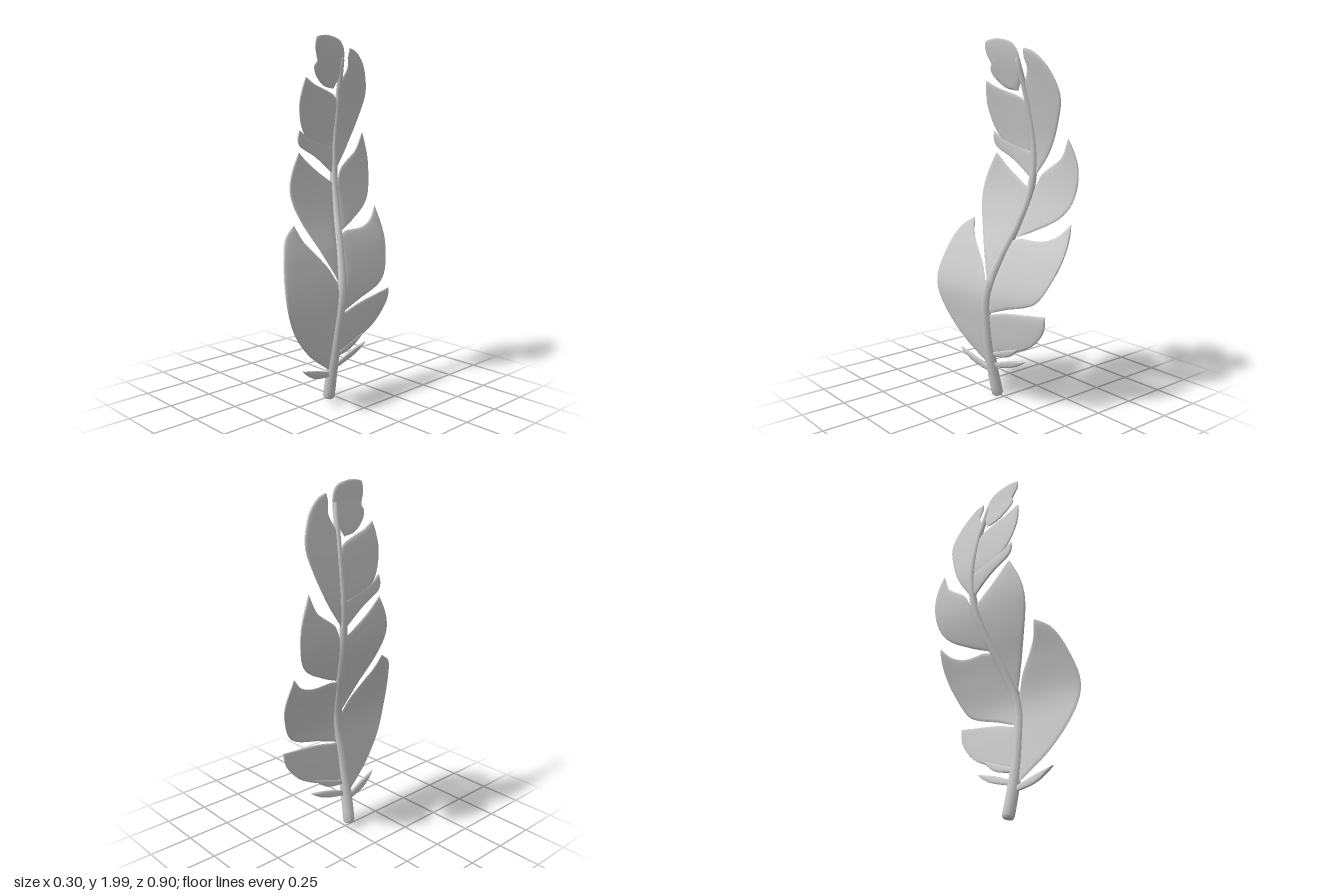
import * as THREE from 'three';
import { toCreasedNormals } from 'three/addons/utils/BufferGeometryUtils.js';

// Centre line of the feather; the last point guides the vane above the quill tip
const spine = new THREE.CatmullRomCurve3([
  [0.012, 0.01, 0.042], [0.05, 0.2, 0.05], [0.085, 0.42, 0.045], [0.1, 0.62, 0.03], [0.04, 0.82, -0.015],
  [-0.045, 1.02, -0.07], [-0.1, 1.2, -0.105], [-0.113, 1.4, -0.12], [-0.085, 1.6, -0.115],
  [-0.05, 1.76, -0.1], [-0.015, 1.9, -0.085], [0.01, 2.05, -0.07],
].map((p) => new THREE.Vector3(...p)));

// Curve parameter at a given height
function paramAt(y) {
  let a = 0, b = 1;
  for (let i = 0; i < 24; i++) {
    const m = (a + b) / 2;
    if (spine.getPoint(m).y < y) a = m; else b = m;
  }
  return (a + b) / 2;
}

// Closed strip of cross-sections: point(i, j) for nu rings of nv corners
function loft(nu, nv, point, crease) {
  const pos = [], idx = [];
  for (let i = 0; i < nu; i++) {
    for (let j = 0; j < nv; j++) {
      pos.push(...point(i, j).toArray());
      if (i === nu - 1) continue;
      const a = i * nv + j, b = i * nv + (j + 1) % nv;
      idx.push(a, b, a + nv, b, b + nv, a + nv);
    }
  }
  const g = new THREE.BufferGeometry();
  g.setAttribute('position', new THREE.Float32BufferAttribute(pos, 3));
  g.setIndex(idx);
  return toCreasedNormals(g, crease);
}

// Tapered quill with closed, bevelled ends
function quillGeometry() {
  const rings = [[0.01, 0], [0.01, 0.026], [0.02, 0.033]];
  for (let i = 1; i <= 36; i++) {
    const k = i / 36;
    rings.push([0.02 + 1.86 * k, 0.034 - 0.02 * k]);
  }
  rings.push([1.893, 0.01], [1.9, 0]);
  return loft(rings.length, 10, (i, j) => {
    const t = paramAt(rings[i][0]), r = rings[i][1], a = (j / 10) * Math.PI * 2;
    const T = spine.getTangent(t);
    const e1 = new THREE.Vector3(1, 0, 0).cross(T).normalize();
    const e2 = T.clone().cross(e1);
    return spine.getPoint(t).addScaledVector(e1, r * Math.cos(a)).addScaledVector(e2, r * Math.sin(a));
  }, 0.75);
}

// Thin vane lobe between a lower and an upper edge, both running from root to tip as [z, y]
function lobeGeometry(lower, upper, half) {
  const curve = (pts) => new THREE.SplineCurve(pts.map((p) => new THREE.Vector2(...p)));
  const lo = curve(lower), up = curve(upper);
  const side = Math.sign(lower.at(-1)[0] - lower[0][0]);
  const nu = 33, nv = 28;
  return loft(nu, nv, (i, j) => {
    const u = i / (nu - 1), a = (j / nv) * Math.PI * 2;
    const p = lo.getPointAt(u).lerp(up.getPointAt(u), 0.5 - 0.5 * Math.cos(a));
    const s = Math.sin(a);
    const off = side * half * Math.sign(s) * Math.abs(s) ** 0.5 * (1 - (2 * u - 1) ** 12);
    const c = spine.getPoint(paramAt(p.y));
    // the vane follows the bend of the quill and is turned slightly about it
    return new THREE.Vector3(c.x + 0.1 * (p.x - c.z) + off, p.y, p.x);
  }, 0.9);
}

const frontLobes = [
  // downy barb
  [[[0.06, 0.14], [0.2, 0.17], [0.3, 0.24]], [[0.06, 0.17], [0.18, 0.21], [0.3, 0.24]]],
  // large lower lobe
  [[[0.05, 0.17], [0.25, 0.31], [0.39, 0.47], [0.45, 0.63], [0.43, 0.79], [0.37, 0.94], [0.275, 1.01]],
    [[0.04, 0.66], [0.1, 0.77], [0.19, 0.87], [0.24, 0.93], [0.275, 1.01]]],
  // middle lobe
  [[[0.03, 0.67], [0.13, 0.86], [0.22, 1.03], [0.255, 1.15], [0.235, 1.26], [0.17, 1.385]],
    [[-0.1, 1.2], [0, 1.26], [0.09, 1.32], [0.17, 1.385]]],
  // narrow lobe
  [[[-0.11, 1.25], [0.03, 1.35], [0.15, 1.41], [0.18, 1.45], [0.175, 1.505]],
    [[-0.12, 1.4], [0.02, 1.44], [0.1, 1.46], [0.175, 1.505]]],
  // upper lobe
  [[[-0.11, 1.395], [-0.01, 1.41], [0.09, 1.44], [0.16, 1.52], [0.195, 1.63], [0.19, 1.72], [0.175, 1.78]],
    [[-0.11, 1.64], [-0.07, 1.69], [0.03, 1.725], [0.1, 1.745], [0.175, 1.78]]],
  // top lobe
  [[[-0.055, 1.725], [0.03, 1.74], [0.1, 1.79], [0.125, 1.84], [0.108, 1.865], [0.135, 1.93], [0.135, 1.985]],
    [[-0.1, 1.8], [-0.1, 1.91], [-0.06, 1.975], [0.03, 1.998], [0.1, 1.995], [0.135, 1.985]]],
];

const backLobes = [
  // downy barbs
  [[[0.03, 0.18], [-0.13, 0.225], [-0.23, 0.285]], [[0.03, 0.21], [-0.1, 0.255], [-0.23, 0.285]]],
  [[[0.03, 0.25], [-0.1, 0.28], [-0.2, 0.355]], [[0.03, 0.275], [-0.08, 0.315], [-0.2, 0.355]]],
  // low lobe
  [[[0.03, 0.27], [-0.15, 0.32], [-0.29, 0.39], [-0.38, 0.49], [-0.4, 0.58]],
    [[0.03, 0.5], [-0.12, 0.54], [-0.29, 0.565], [-0.4, 0.58]]],
  // wide lobe
  [[[0.02, 0.51], [-0.12, 0.56], [-0.33, 0.635], [-0.42, 0.79], [-0.445, 0.92], [-0.43, 1.05]],
    [[-0.05, 0.92], [-0.12, 0.94], [-0.17, 0.94], [-0.27, 0.945], [-0.36, 0.98], [-0.43, 1.05]]],
  // middle lobe
  [[[-0.08, 0.94], [-0.2, 0.99], [-0.345, 1.07], [-0.41, 1.17], [-0.42, 1.33], [-0.36, 1.485]],
    [[-0.13, 1.2], [-0.17, 1.28], [-0.22, 1.32], [-0.31, 1.385], [-0.36, 1.485]]],
  // top lobe
  [[[-0.12, 1.26], [-0.23, 1.41], [-0.31, 1.58], [-0.34, 1.71], [-0.29, 1.84], [-0.21, 1.92], [-0.14, 1.945]],
    [[-0.105, 1.76], [-0.145, 1.84], [-0.135, 1.9], [-0.14, 1.945]]],
];

export function createModel() {
  const feather = new THREE.Group();
  feather.name = 'feather';
  const material = new THREE.MeshStandardMaterial({ color: 0xcccccc });
  const add = (geometry, name, parent) => {
    const mesh = new THREE.Mesh(geometry, material);
    mesh.name = name;
    parent.add(mesh);
  };
  add(quillGeometry(), 'quill', feather);
  for (const [name, lobes] of [['frontVane', frontLobes], ['backVane', backLobes]]) {
    const vane = new THREE.Group();
    vane.name = name;
    lobes.forEach(([lower, upper], i) => {
      const barb = lower.length === 3;
      add(lobeGeometry(lower, upper, barb ? 0.01 : 0.008), (barb ? 'downyBarb' : 'vaneLobe') + (i + 1), vane);
    });
    feather.add(vane);
  }
  return feather;
}
